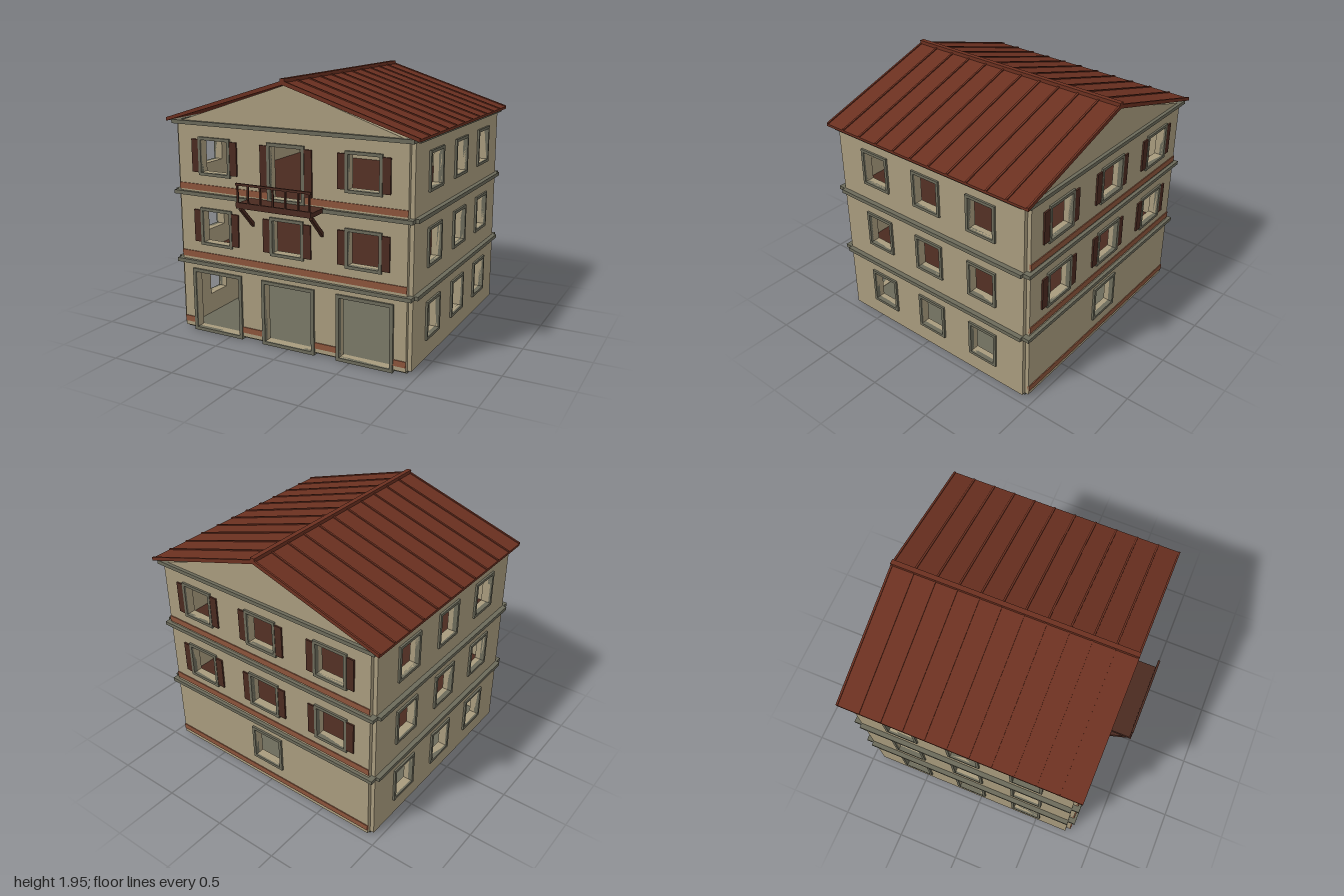
import * as THREE from 'three';

const mat = (name, color, side = THREE.FrontSide) => {
  const m = new THREE.MeshStandardMaterial({ color, side });
  m.name = name;
  return m;
};

export function createModel() {
  const M = {
    wall: mat('plaster', 0xa89b7d),
    stone: mat('stone trim', 0x6b6a5a),
    band: mat('terracotta band', 0x8b543b),
    roof: mat('roof tile', 0x6b3020),
    wood: mat('dark wood', 0x4a2a20),
  };
  const HX = 0.92, HZ = 0.84, CZ = -0.075, T = 0.06;
  const house = new THREE.Group();
  house.name = 'house';

  const add = (parent, name, geo, material) => {
    const m = new THREE.Mesh(geo, material);
    m.name = name;
    parent.add(m);
    return m;
  };
  // box given by its limits on each axis
  const box = (parent, name, material, x0, x1, y0, y1, z0, z1) => {
    const m = add(parent, name, new THREE.BoxGeometry(x1 - x0, y1 - y0, z1 - z0), material);
    m.position.set((x0 + x1) / 2, (y0 + y1) / 2, (z0 + z1) / 2);
    return m;
  };
  const polygon = (Kind, pts) => new Kind(pts.map(([x, y]) => new THREE.Vector2(x, y)));
  const rect = (Kind, x0, x1, y0, y1) => polygon(Kind, [[x0, y0], [x1, y0], [x1, y1], [x0, y1]]);
  const extrude = (shape, depth, z) =>
    new THREE.ExtrudeGeometry(shape, { depth, bevelEnabled: false }).translate(0, 0, z);

  // One facade, outer wall face at local z = 0
  // openings: { x, w, y0, y1, bar, shutter: [y0, y1] }
  function facade(name, { half, dist, angle, gable, openings, beltHalf, beltOut, bands = [] }) {
    const g = new THREE.Group();
    g.name = name;
    g.rotation.y = angle;
    g.position.set(Math.sin(angle) * dist, 0, CZ + Math.cos(angle) * dist);
    house.add(g);

    const outline = [[-half, 0.02], [half, 0.02], [half, 1.6]];
    if (gable) outline.push([0, 1.907]);
    outline.push([-half, 1.6]);
    const wall = polygon(THREE.Shape, outline);

    for (const o of openings) {
      const a = o.x - o.w / 2, b = o.x + o.w / 2, t = o.bar;
      wall.holes.push(rect(THREE.Path, a, b, o.y0, o.y1));
      const frame = rect(THREE.Shape, a - t, b + t, o.y0 - t, o.y1 + t);
      frame.holes.push(rect(THREE.Path, a, b, o.y0, o.y1));
      add(g, 'openingFrame', extrude(frame, 0.035, -0.02), M.stone);
      if (o.shutter) {
        const [s0, s1] = o.shutter;
        box(g, 'shutter', M.wood, a - t - 0.058, a - t, s0, s1, -0.01, 0.012);
        box(g, 'shutter', M.wood, b + t, b + t + 0.058, s0, s1, -0.01, 0.012);
      }
    }
    add(g, 'wall', extrude(wall, T, -T), M.wall);

    for (const y of [0.545, 1.074, 1.6])
      box(g, 'belt', M.stone, -beltHalf, beltHalf, y - 0.014, y + 0.014, -0.03, beltOut);
    for (const [y0, y1, spans] of bands)
      for (const [a, b] of spans) box(g, 'colourBand', M.band, a, b, y0, y1, -0.01, 0.007);
  }

  const shuttered = (x, y) => ({
    x, w: 0.23, y0: y - 0.12, y1: y + 0.12, bar: 0.022, shutter: [y - 0.122, y + 0.122],
  });
  const upper = [0.832, 1.36];
  const full = [[-HX, HX]];
  const ends = { half: HX, dist: HZ + T / 2, gable: true, beltHalf: 0.96, beltOut: 0.025 };

  // Front: three wide doorways, windows and a balcony door
  const doors = [-0.61, 0, 0.61];
  facade('frontFacade', {
    ...ends, angle: 0,
    openings: [
      ...doors.map((x) => ({ x, w: 0.386, y0: 0.025, y1: 0.467, bar: 0.025 })),
      ...[-0.6, 0, 0.6].map((x) => shuttered(x, upper[0])),
      ...[-0.6, 0.6].map((x) => shuttered(x, upper[1])),
      { x: 0, w: 0.25, y0: 1.11, y1: 1.48, bar: 0.025, shutter: [1.15, 1.482] },
    ],
    bands: [
      [0.053, 0.097, [[-HX, -0.828], [-0.392, -0.218], [0.218, 0.392], [0.828, HX]]],
      [0.58, 0.628, full],
      [1.102, 1.148, [[-HX, -0.15], [0.15, HX]]],
    ],
  });

  // Back: shuttered windows and one plain window below
  facade('backFacade', {
    ...ends, angle: Math.PI,
    openings: [
      ...upper.flatMap((y) => [-0.6, 0, 0.6].map((x) => shuttered(x, y))),
      { x: 0, w: 0.235, y0: 0.208, y1: 0.45, bar: 0.022 },
    ],
    bands: [[0.053, 0.097, full], [0.58, 0.628, full], [1.102, 1.148, full]],
  });

  // Sides: a three by three array of windows
  for (const s of [1, -1])
    facade(s > 0 ? 'leftFacade' : 'rightFacade', {
      half: HZ, dist: HX + T / 2, angle: s * Math.PI / 2, beltHalf: HZ, beltOut: 0.035,
      openings: [0.3, ...upper].flatMap((y) => [-0.485, 0, 0.485].map((x) => (
        { x, w: 0.206, y0: y - 0.12, y1: y + 0.12, bar: 0.021 }))),
    });

  // Ground slab and inner floors
  box(house, 'groundSlab', M.stone, -HX, HX, 0, 0.022, CZ - HZ, CZ + HZ);
  for (const y of [0.545, 1.074])
    box(house, 'innerFloor', M.wood, -0.9, 0.9, y - 0.016, y + 0.018, CZ - 0.82, CZ + 0.82);

  // Roof: folded slab with raised ribs and a ridge cap
  const chevron = (b0, b1, t0, t1) => polygon(THREE.Shape,
    [[-1, b0], [0, b1], [1, b0], [1, t0], [0, t1], [-1, t0]]);
  const roof = new THREE.Group();
  roof.name = 'roof';
  house.add(roof);
  add(roof, 'roofSlab', extrude(chevron(1.602, 1.91, 1.62, 1.932), 1.81, -0.98), M.roof);
  for (let i = 0; i < 12; i++)
    add(roof, 'roofRib', extrude(chevron(1.61, 1.92, 1.628, 1.94), 0.014, -0.98 + i * 1.796 / 11), M.roof);
  box(roof, 'ridgeCap', M.roof, -0.018, 0.018, 1.92, 1.953, -0.98, 0.83);

  // Balcony with a front railing and diagonal braces
  const balcony = new THREE.Group();
  balcony.name = 'balcony';
  house.add(balcony);
  box(balcony, 'balconyFloor', M.wood, -0.298, 0.298, 1.06, 1.092, 0.79, 0.98);
  box(balcony, 'bottomRail', M.wood, -0.298, 0.298, 1.09, 1.102, 0.965, 0.98);
  box(balcony, 'topRail', M.wood, -0.3, 0.3, 1.222, 1.238, 0.964, 0.98);
  for (const x of [-0.285, -0.2, -0.1, 0, 0.1, 0.2, 0.285])
    box(balcony, 'railPost', M.wood, x - 0.006, x + 0.006, 1.09, 1.225, 0.966, 0.978);
  for (const x of [-0.282, 0.282]) {
    const brace = add(balcony, 'brace', new THREE.BoxGeometry(0.024, 0.024, 0.225), M.wood);
    brace.position.set(x, 0.973, 0.867);
    brace.rotation.x = -Math.PI / 4;
  }
  return house;
}
